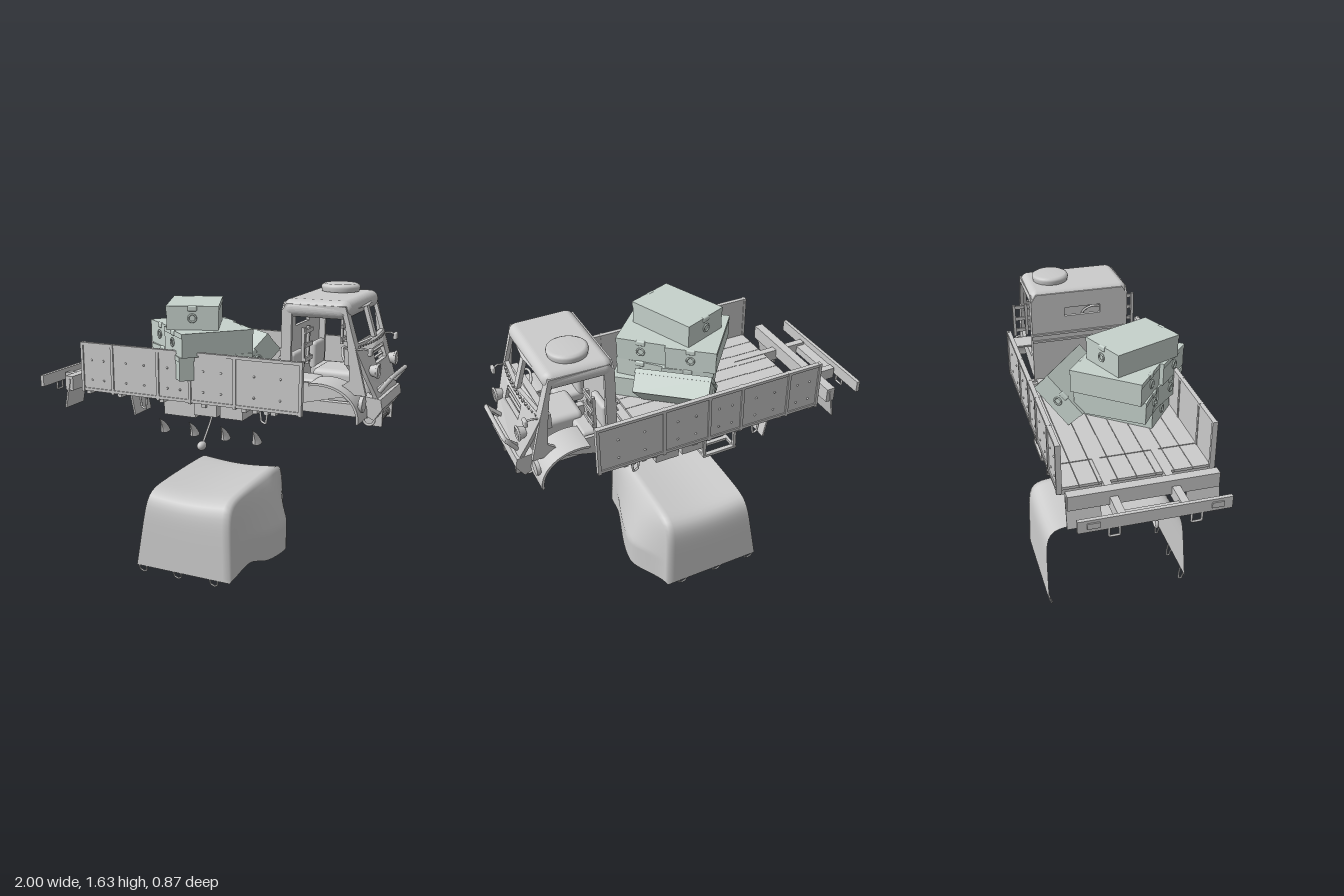
import * as THREE from 'three';
import { RoundedBoxGeometry } from 'three/addons/geometries/RoundedBoxGeometry.js';
import { toCreasedNormals } from 'three/addons/utils/BufferGeometryUtils.js';

const grey = new THREE.MeshStandardMaterial({ color: 0xcccccc, side: THREE.DoubleSide });
const crateMat = new THREE.MeshStandardMaterial({ color: 0xc6d2cc });
const V = (x, y, z) => new THREE.Vector3(x, y, z);

function add(parent, name, geo, pos = [0, 0, 0], rot = [0, 0, 0], mat = grey) {
  const m = new THREE.Mesh(geo, mat);
  m.name = name;
  m.position.set(...pos);
  m.rotation.set(...rot);
  parent.add(m);
  return m;
}
// box given by its limits on each axis
function box(parent, name, x0, x1, y0, y1, z0, z1) {
  return add(parent, name, new THREE.BoxGeometry(x1 - x0, y1 - y0, z1 - z0),
    [(x0 + x1) / 2, (y0 + y1) / 2, (z0 + z1) / 2]);
}
const cyl = (r0, r1, h, n = 20) => new THREE.CylinderGeometry(r0, r1, h, n);
function tube(parent, name, pts, r) {
  const curve = new THREE.CatmullRomCurve3(pts.map(p => V(...p)), false, 'catmullrom', 0.15);
  return add(parent, name, new THREE.TubeGeometry(curve, pts.length * 8, r, 8));
}
function plate(outline, holes, depth) {
  const s = new THREE.Shape(outline.map(p => new THREE.Vector2(...p)));
  for (const h of holes) s.holes.push(new THREE.Path(h.map(p => new THREE.Vector2(...p))));
  return new THREE.ExtrudeGeometry(s, { depth, bevelEnabled: false });
}
const rect = (a, b, c, d) => [[a, c], [a, d], [b, d], [b, c]];
const mirror = half => [...half, ...half.slice().reverse().map(([a, b]) => [-a, b])];

function buildCab(t) {
  const cab = new THREE.Group();
  cab.name = 'cab';
  t.add(cab);
  // roof, domed and narrowing a little at the front
  const roof = new RoundedBoxGeometry(0.37, 0.09, 0.57, 6, 0.044);
  const p = roof.attributes.position;
  for (let i = 0; i < p.count; i++) {
    const x = p.getX(i), z = p.getZ(i);
    p.setX(i, x - (x > 0 ? 0.35 * z * z : 0));
    p.setY(i, p.getY(i) - 0.12 * z * z);
    p.setZ(i, z * (1 - 0.12 * Math.max(0, x)));
  }
  roof.computeVertexNormals();
  add(cab, 'roof', roof, [0.632, 1.555, 0]);
  add(cab, 'roofHatch', new THREE.LatheGeometry([[0, 0.04], [0.085, 0.04], [0.1, 0.032], [0.103, 0.02],
    [0.098, 0]].map(a => new THREE.Vector2(...a)), 32), [0.622, 1.595, -0.13]);
  // door frames with the doors missing
  const side = plate([[0.447, 1.06], [0.447, 1.53], [0.47, 1.57], [0.775, 1.57], [0.83, 1.38], [0.895, 1.14], [0.84, 1.14], [0.52, 1.06]],
    [[[0.5, 1.18], [0.5, 1.52], [0.52, 1.545], [0.75, 1.545], [0.77, 1.53], [0.8, 1.32], [0.81, 1.21], [0.77, 1.18]]], 0.02);
  for (const s of [-1, 1]) add(cab, 'doorFrame', side, [0, 0, s * 0.27 - 0.01]);
  // rear wall with a slit window
  const back = plate(mirror([[0.28, 1.05], [0.28, 1.53], [0.25, 1.575]]), [rect(-0.12, 0.09, 1.435, 1.485)], 0.02);
  add(cab, 'rearWall', back.rotateY(Math.PI / 2), [0.447, 0, 0]);
  for (const y of [1.29, 1.33]) box(cab, 'wallRib', 0.437, 0.45, y, y + 0.012, -0.28, 0.28);
  // sloping front with two window panes and the grille opening
  const front = plate(mirror([[0.18, 1.06], [0.2, 1.13], [0.235, 1.22], [0.278, 1.36], [0.278, 1.53], [0.25, 1.57]]),
    [rect(0.02, 0.24, 1.39, 1.545), rect(-0.24, -0.02, 1.39, 1.545), rect(-0.1, 0.1, 1.27, 1.345)], 0.022).rotateY(Math.PI / 2);
  const q = front.attributes.position;
  for (let i = 0; i < q.count; i++) q.setX(i, q.getX(i) + 0.93 - (q.getY(i) - 1.1) * 0.32 - 0.4 * q.getZ(i) ** 2);
  front.computeVertexNormals();
  add(cab, 'frontPanel', front);
  for (let i = -7; i <= 7; i++) add(cab, 'hinge', new THREE.BoxGeometry(0.012, 0.008, 0.016), [0.862 - 0.4 * (i * 0.034) ** 2, 1.373, i * 0.034]);
  for (const y of [1.285, 1.325]) box(cab, 'grilleSlat', 0.86, 0.875, y, y + 0.007, -0.1, 0.1);
  box(cab, 'dashboard', 0.77, 0.83, 1.28, 1.36, -0.25, 0.25);
  add(cab, 'engineCover', new RoundedBoxGeometry(0.32, 0.2, 0.24, 3, 0.03), [0.72, 1.12, 0]);
  for (const s of [-1, 1]) {
    add(cab, 'seat', new RoundedBoxGeometry(0.15, 0.06, 0.16, 3, 0.02), [0.55, 1.16, s * 0.17]);
    add(cab, 'seatBack', new RoundedBoxGeometry(0.04, 0.15, 0.16, 3, 0.018), [0.49, 1.24, s * 0.17]);
    // headlight, mirror, fender and marker light on each side
    add(cab, 'headlight', cyl(0.036, 0.025, 0.04, 24), [0.905, 1.25, s * 0.18], [0, 0, -Math.PI / 2]);
    add(cab, 'headlightRim', new THREE.TorusGeometry(0.034, 0.006, 8, 24), [0.925, 1.25, s * 0.18], [0, Math.PI / 2, 0]);
    tube(cab, 'mirrorArm', [[0.82, 1.36, s * 0.26], [0.87, 1.37, s * 0.26], [0.9, 1.36, s * 0.25]], 0.005);
    add(cab, 'mirror', new RoundedBoxGeometry(0.02, 0.04, 0.04, 2, 0.008), [0.9, 1.355, s * 0.25]);
    const arch = [];
    for (let i = 0; i <= 16; i++) {
      const a = -0.1 + i / 16 * 1.95;
      arch.push([0.68 + 0.205 * Math.cos(a), 1.03 + 0.17 * Math.sin(a)]);
    }
    const inner = arch.map(([x, y]) => [0.68 + (x - 0.68) * 0.94, 1.03 + (y - 1.03) * 0.93]).reverse();
    add(cab, 'fender', toCreasedNormals(plate([...arch, ...inner], [], 0.18), 0.5), [0, 0, s * 0.27 - 0.09]);
    add(cab, 'fenderInnerWall', plate(arch, [], 0.01), [0, 0, s * 0.19]);
    add(cab, 'markerLight', cyl(0.04, 0.04, 0.02, 20), [0.88, 1.1, s * 0.285], [0, 0, Math.PI / 2]);
    // slatted rack beside the cab
    for (const z of [0.285, 0.355]) box(cab, 'rackPost', 0.585, 0.6, 1.28, 1.47, s * z - 0.008, s * z + 0.008);
    for (const y of [1.3, 1.37, 1.44]) box(cab, 'rackSlat', 0.597, 0.607, y, y + 0.02, s * 0.305 - 0.055, s * 0.305 + 0.055);
  }
  add(cab, 'steeringWheel', new THREE.TorusGeometry(0.07, 0.007, 8, 28), [0.77, 1.29, 0.16], [0, Math.PI / 2, 0.5, 'ZYX']);
  tube(cab, 'steeringColumn', [[0.77, 1.29, 0.16], [0.85, 1.14, 0.16]], 0.009);
  // bumper, winch and guard bar
  const bumper = plate([[0.86, 1.03], [0.86, 1.12], [0.95, 1.11], [0.96, 1.06], [0.92, 1.0]], [], 0.4);
  add(cab, 'bumper', bumper, [0, 0, -0.2]);
  add(cab, 'winchDrum', cyl(0.028, 0.028, 0.17), [0.9, 0.985, 0], [Math.PI / 2, 0, 0]);
  for (let i = -4; i <= 4; i++) add(cab, 'winchCable', new THREE.TorusGeometry(0.029, 0.006, 6, 20), [0.9, 0.985, i * 0.018]);
  for (const s of [-1, 1]) {
    box(cab, 'winchCheek', 0.85, 0.94, 0.945, 1.03, s * 0.1 - 0.008, s * 0.1 + 0.008);
    tube(cab, 'guardBarArm', [[0.87, 1.1, s * 0.13], [0.985, 1.215, s * 0.155]], 0.01);
    add(cab, 'towShackle', new THREE.TorusGeometry(0.028, 0.007, 8, 20), [0.88, 0.985, s * 0.14]);
  }
  tube(cab, 'guardBar', [[0.93, 1.14, -0.155], [0.985, 1.215, -0.15], [0.985, 1.215, 0.15], [0.93, 1.14, 0.155]], 0.012);
}

function buildBed(t) {
  // floor planks and cross bearers
  for (let i = 0; i < 8; i++) {
    const z = -0.385 + i * 0.0965;
    box(t, 'floorPlank', -0.47, 0.28, 1.05, 1.065, z, z + 0.094);
    box(t, 'rearPlank', -0.67, -0.472, 1.047, 1.062, z, z + 0.094);
  }
  for (const x of [-0.66, -0.46, -0.2, 0.05, 0.28, 0.34, 0.4, 0.44]) box(t, 'crossBearer', x, x + 0.025, 1.015, 1.05, -0.385, 0.385);
  for (const z of [-0.25, -0.1, 0.1, 0.25]) box(t, 'frontBearer', 0.28, 0.45, 1.04, 1.055, z - 0.02, z + 0.02);
  for (const s of [-1, 1]) {
    // side boards with ribs, bolts and hooks
    const edges = [-0.67, -0.48, -0.2, -0.01, 0.245, 0.6];
    for (let i = 0; i < 5; i++) {
      box(t, 'sideBoard', edges[i] + 0.003, edges[i + 1] - 0.003, 1.045, 1.305, s * 0.388 - 0.008, s * 0.388 + 0.008);
      for (const f of [0.3, 0.7]) for (const y of [1.1, 1.21])
        add(t, 'bolt', new THREE.SphereGeometry(0.006, 10, 6), [edges[i] + (edges[i + 1] - edges[i]) * f, y, s * 0.396]);
    }
    for (const x of edges) box(t, 'sideRib', x - 0.008, x + 0.008, 1.03, 1.307, s * 0.39 - 0.014, s * 0.39 + 0.014);
    for (const y of [1.298, 1.045]) box(t, 'sideRail', -0.67, 0.6, y - 0.008, y + 0.008, s * 0.39 - 0.012, s * 0.39 + 0.012);
    for (const x of [-0.3, 0.4]) tube(t, 'lashingHook', [[x - 0.02, 1.03, s * 0.38], [x - 0.012, 0.98, s * 0.38], [x + 0.012, 0.97, s * 0.38], [x + 0.02, 1.03, s * 0.38]], 0.006);
    // mudguards around the missing rear wheels
    for (const [x, a, y, h] of [[-0.365, 0.2, 0.985, 0.12], [-0.79, -0.2, 1.0, 0.17]])
      add(t, 'mudFlap', new THREE.BoxGeometry(0.01, h, 0.17), [x, y, s * 0.3], [0, 0, a]);
    // chassis rail, slung lockers
    box(t, 'chassisRail', -0.95, 0.88, 1.0, 1.065, s * 0.155 - 0.02, s * 0.155 + 0.02);
    for (const x of [0, 0.15]) box(t, 'sideLocker', x, x + 0.13, 0.965, 1.03, s * 0.3 - 0.07, s * 0.3 + 0.07);
  }
  for (const x of [-0.18, 0]) for (const z of [-0.37, -0.21]) box(t, 'carrierPost', x - 0.008, x + 0.008, 0.91, 1.04, z - 0.008, z + 0.008);
  for (const z of [-0.37, -0.29, -0.21]) box(t, 'carrierRail', -0.188, 0.008, 0.905, 0.92, z - 0.012, z + 0.012);
  for (const x of [-0.18, 0]) box(t, 'carrierEnd', x - 0.008, x + 0.008, 0.905, 0.92, -0.382, -0.198);
  box(t, 'fuelTank', -0.31, -0.11, 0.875, 1.01, -0.135, 0.135);
  box(t, 'gearbox', -0.08, 0.16, 0.93, 1.04, -0.07, 0.07);
  tube(t, 'driveShaft', [[0.1, 0.995, 0], [0.7, 1.03, 0]], 0.018);
  for (const x of [-0.93, -0.56, -0.2, 0.3]) box(t, 'chassisCross', x - 0.03, x + 0.03, 1.01, 1.05, -0.15, 0.15);
  // rear beams and towing gear
  box(t, 'rearBeam', -0.805, -0.755, 1.02, 1.1, -0.38, 0.38);
  box(t, 'tailBar', -0.98, -0.96, 1.02, 1.085, -0.375, 0.375);
  for (const z of [-0.2, 0.2]) {
    tube(t, 'tailShackle', [[-0.975, 1.03, z - 0.025], [-0.975, 0.975, z - 0.025], [-0.975, 0.975, z + 0.025], [-0.975, 1.03, z + 0.025]], 0.006);
    box(t, 'tailLight', -0.987, -0.978, 1.04, 1.07, z * 1.5 - 0.03, z * 1.5 + 0.03);
  }
  add(t, 'towHook', new THREE.TorusGeometry(0.026, 0.008, 8, 20, 4.6), [-0.965, 1.005, 0], [0, 0, 2.4]);
}

function buildCargo(root) {
  // stacked crates with carrying handles: x, y, z, yaw, tilt
  for (const [x, y, z, yaw, tilt] of [[-0.1, 1.47, 0.11, -1.19, 0], [-0.17, 1.345, 0, 0.886, 0], [0.015, 1.345, 0.19, 0.83, 0],
    [0.01, 1.22, 0.18, 0.75, 0], [-0.15, 1.22, 0.02, 0.95, 0], [-0.05, 1.12, 0.1, 0.9, 0], [0.05, 1.12, 0.1, -0.7, 0], [0.05, 1.21, -0.17, -0.68, 0.75]]) {
    const c = new THREE.Group();
    c.name = 'crate';
    c.position.set(x, y, z);
    c.rotation.set(tilt, yaw, 0, 'YXZ');
    root.add(c);
    add(c, 'crateBody', new THREE.BoxGeometry(0.395, 0.115, 0.27), [0, -0.005, 0], [0, 0, 0], crateMat);
    add(c, 'crateLid', new THREE.BoxGeometry(0.4, 0.025, 0.275), [0, 0.05, 0], [0, 0, 0], crateMat);
    for (const s of [-1, 1]) {
      add(c, 'crateHandle', new THREE.TorusGeometry(0.02, 0.005, 6, 16), [s * 0.203, 0, 0], [0, Math.PI / 2, 0], crateMat);
      add(c, 'crateLatch', new RoundedBoxGeometry(0.05, 0.03, 0.02, 2, 0.008), [s * 0.195, 0.05, 0], [0, Math.PI / 2, 0], crateMat);
    }
  }
}

function buildTarp(root) {
  const g = new THREE.Group();
  g.name = 'tarpaulin';
  root.add(g);
  // arch swept along x, then closed by a draped end
  const W = 0.4, H = 0.45, base = 0.05, zc = -0.028, NU = 64, NB = 14, NC = 16;
  const arch = u => {
    const a = (1 - u) * Math.PI, c = Math.cos(a), s = Math.sin(a);
    const k = 1 / (Math.abs(c) ** 9 + s ** 9) ** (1 / 9);
    return [-c * k * W, s * k * H];
  };
  const smooth = THREE.MathUtils.smoothstep;
  const endX = (z, h) => 0.23 + 0.115 * Math.min(1, 1.6 * (1 - h)) * (1 - smooth(z, -0.15, 0.4)) * smooth(z, -0.41, -0.12);
  const pos = [], idx = [];
  for (let j = 0; j <= NB + NC; j++) for (let i = 0; i <= NU; i++) {
    let [z, y] = arch(i / NU);
    const v = Math.min(1, j / NB), t = 1 - Math.max(0, j - NB) / NC;
    z *= t;
    y *= t;
    const h = y / H, xa = -0.35 + 0.075 * h, xb = endX(z, h) - 0.02 * t ** 8 * h;
    const sag = -0.018 * Math.sin(v * Math.PI) * h * t + 0.008 * h * (1 - (z / W) ** 2);
    const lift = 0.045 * Math.exp(-(((z - 0.2) / 0.1) ** 2)) * (1 - h) * smooth(j, NB - 1, NB + 1);
    pos.push(xa + (xb - xa) * v, base + y + sag + lift, zc + z * (1 + 0.025 * (1 - h)));
  }
  for (let j = 0; j < NB + NC; j++) for (let i = 0; i < NU; i++) {
    const a = j * (NU + 1) + i, b = a + NU + 1;
    idx.push(a, a + 1, b, b, a + 1, b + 1);
  }
  const geo = new THREE.BufferGeometry();
  geo.setAttribute('position', new THREE.Float32BufferAttribute(pos, 3));
  geo.setIndex(idx);
  geo.computeVertexNormals();
  add(g, 'canvas', geo);
  for (const s of [-1, 1]) for (const x of [-0.315, -0.095, 0.13])
    tube(g, 'tieLoop', [[x - 0.025, 0.06, zc + s * 0.405], [x - 0.02, 0.02, zc + s * 0.395], [x, 0.006, zc + s * 0.388], [x + 0.02, 0.02, zc + s * 0.395], [x + 0.025, 0.06, zc + s * 0.405]], 0.005);
}

export function createModel() {
  const root = new THREE.Group();
  root.name = 'truck';
  const t = new THREE.Group();
  t.name = 'vehicle';
  t.position.z = -0.035;
  root.add(t);
  buildCab(t);
  buildBed(t);
  buildCargo(root);
  buildTarp(root);
  // row of curved spikes
  for (const x of [-0.27, -0.085, 0.105, 0.29]) {
    const spike = new THREE.ConeGeometry(0.028, 0.11, 10, 6);
    const p = spike.attributes.position;
    for (let i = 0; i < p.count; i++) p.setZ(i, p.getZ(i) + 0.04 * ((p.getY(i) + 0.055) / 0.11) ** 2);
    spike.computeVertexNormals();
    add(root, 'spike', spike, [x, 0.853, 0.18], [0.35, 0, 0]);
  }
  // hanging lever with a knob
  tube(root, 'lever', [[0, 0.98, 0.06], [-0.005, 0.87, 0.13], [-0.012, 0.77, 0.21]], 0.006);
  add(root, 'leverKnob', new THREE.SphereGeometry(0.03, 18, 12), [-0.012, 0.76, 0.222]).scale.set(0.8, 0.85, 1.2);
  return root;
}
